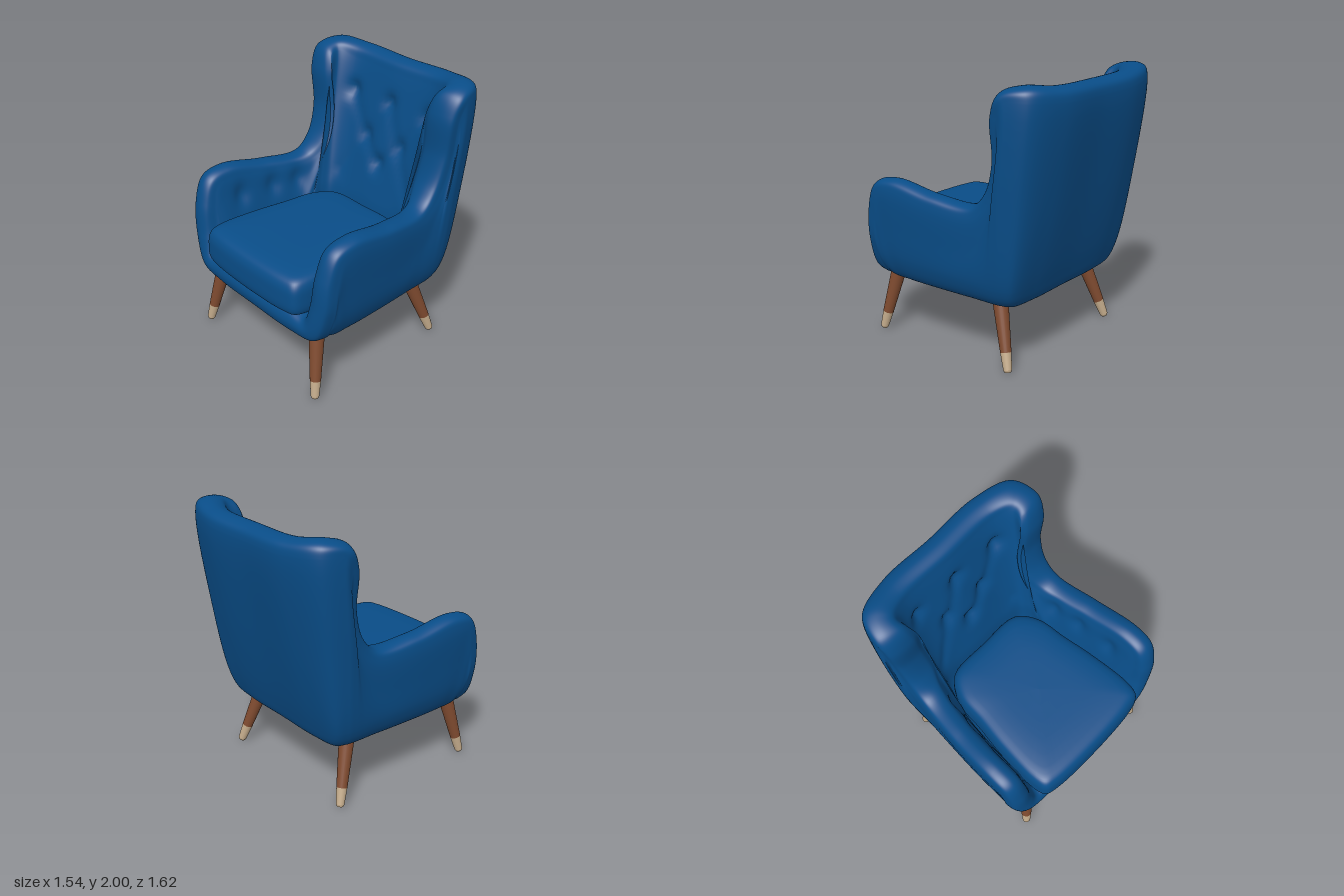
import * as THREE from 'three';

const V = (x, y, z) => new THREE.Vector3(x, y, z);

// Half of the rim, back centre -> wing -> arm -> front rail: x, y, z, thickness,
// outward angle (0 = back, 90 = side, 180 = down), inner padding width
const RIM = [
  [0, 1.97, -0.705, 0.20, 0, 0.5], [0.40, 1.98, -0.705, 0.20, 3, 0.52], [0.62, 2.0, -0.63, 0.20, 42, 0.65],
  [0.675, 1.95, -0.48, 0.17, 74, 0.85], [0.66, 1.8, -0.41, 0.165, 84, 1.0], [0.625, 1.5, -0.40, 0.16, 88, 1.0],
  [0.61, 1.28, -0.33, 0.16, 90, 0.95], [0.62, 1.17, -0.22, 0.16, 90, 0.7], [0.66, 1.185, 0.10, 0.17, 90, 0.55],
  [0.685, 1.24, 0.45, 0.17, 90, 0.5], [0.685, 1.19, 0.62, 0.17, 90, 0.5], [0.675, 1.0, 0.70, 0.18, 90, 0.5],
  [0.65, 0.75, 0.725, 0.19, 98, 0.5], [0.58, 0.57, 0.74, 0.19, 138, 0.5], [0.40, 0.55, 0.75, 0.185, 176, 0.5],
  [0, 0.55, 0.755, 0.185, 180, 0.5],
];
// Matching lower flank (x, y, z) and inner foot (x, z)
const FEET = [
  [0, 0.62, -0.575, 0, -0.30], [0.40, 0.62, -0.575, 0.25, -0.30], [0.62, 0.62, -0.54, 0.36, -0.28],
  [0.66, 0.62, -0.46, 0.40, -0.22], [0.67, 0.62, -0.40, 0.42, -0.17], [0.675, 0.62, -0.32, 0.44, -0.12],
  [0.68, 0.62, -0.20, 0.45, -0.06], [0.69, 0.62, -0.08, 0.46, 0], [0.705, 0.62, 0.15, 0.48, 0.20],
  [0.715, 0.62, 0.38, 0.49, 0.40], [0.715, 0.62, 0.49, 0.49, 0.50], [0.715, 0.61, 0.56, 0.50, 0.55],
  [0.70, 0.58, 0.60, 0.50, 0.58], [0.63, 0.485, 0.615, 0.48, 0.58], [0.40, 0.457, 0.62, 0.40, 0.60],
  [0, 0.457, 0.62, 0, 0.60],
];
const CREST_ROW = 7; // control row from which the surface faces inwards

// Smooth surface through half a ring of sections, mirrored in x
function loftMirrored(half, perRow, perSection, dent) {
  const mirrored = half.slice(1, -1).reverse().map(s => s.map(p => V(-p.x, p.y, p.z)));
  const sections = [...half, ...mirrored];
  const rows = (half[0].length - 1) * perRow;
  const cols = sections.length * perSection;
  const dense = sections.map(s => new THREE.CatmullRomCurve3(s).getPoints(rows));
  const pos = [], index = [];
  for (let r = 0; r <= rows; r++) {
    const ring = new THREE.CatmullRomCurve3(dense.map(d => d[r]), true);
    for (let c = 0; c < cols; c++) {
      const p = ring.getPoint(c / cols);
      if (dent) dent(p, r / perRow);
      pos.push(p.x, p.y, p.z);
      if (r < rows) {
        const a = r * cols + c, b = r * cols + (c + 1) % cols;
        index.push(a, a + cols, b, b, a + cols, b + cols);
      }
    }
  }
  const g = new THREE.BufferGeometry();
  g.setAttribute('position', new THREE.Float32BufferAttribute(pos, 3));
  g.setIndex(index);
  g.computeVertexNormals();
  return g;
}

// One section of the body: underside, outer face, rolled rim, inner face, seat deck
function bodySection(i) {
  const [x, y, z, t, angle, pad] = RIM[i];
  const [fx, fy, fz, ix, iz] = FEET[i];
  const C = V(x, y, z), F = V(fx, fy, fz), I = V(ix, 0.62, iz);
  const a = THREE.MathUtils.degToRad(angle);
  const n = angle <= 90 ? V(Math.sin(a), 0, -Math.cos(a)) : V(Math.sin(a), Math.cos(a), 0);
  const at = j => V(RIM[j][0], RIM[j][1], RIM[j][2]);
  const last = RIM.length - 1;
  const T = i === 0 ? V(1, 0, 0) : i === last ? V(-1, 0, 0)
    : C.clone().sub(at(i - 1)).normalize().add(at(i + 1).sub(C).normalize());
  const up = T.cross(n).normalize();
  const rim = (side, down) => C.clone().addScaledVector(n, side * t).addScaledVector(up, -down * t);
  const outer = rim(0.5, 0.5), inner = rim(-pad, 0.25 / pad);
  const bulge = outer.clone().lerp(F, 0.5).addScaledVector(n, 0.02 * outer.distanceTo(F));
  return [
    V(0, 0.455, 0.1), V(fx * 0.78, 0.455, fz * 0.78),
    V(fx * 0.91, 0.455 + (fy - 0.455) * 0.22, fz * 0.91), F, bulge,
    outer, rim(0.4, 0.14), C, rim(-0.72 * pad, 0.07 / pad), inner,
    inner.clone().lerp(I, 0.25), inner.clone().lerp(I, 0.5), inner.clone().lerp(I, 0.75), I,
    V(0, 0.62, 0.1),
  ];
}

// Tufting: buttons and folds on the back (x, y), buttons on the arms (z, y)
const BACK_BUTTONS = [[-0.37, 1.66], [0, 1.66], [0.37, 1.66], [-0.17, 1.37], [0.17, 1.37], [0, 1.2]];
const FOLDS = [[0, 3], [1, 3], [1, 4], [2, 4], [3, 5], [4, 5]]
  .map(([a, b]) => [...BACK_BUTTONS[a], ...BACK_BUTTONS[b]])
  .concat([[-0.17, 1.37, -0.35, 1.05], [0.17, 1.37, 0.35, 1.05]]);
const ARM_BUTTONS = [[-0.12, 1.0], [0.10, 1.0], [0.38, 1.0]];
const bell = (d, w) => Math.exp(-(d * d) / (w * w));

function segmentDistance(x, y, [ax, ay, bx, by]) {
  const dx = bx - ax, dy = by - ay;
  const k = THREE.MathUtils.clamp(((x - ax) * dx + (y - ay) * dy) / (dx * dx + dy * dy), 0, 1);
  return Math.hypot(x - ax - k * dx, y - ay - k * dy);
}

function tuft(p, row) {
  if (row < CREST_ROW + 1 || p.y < 0.7) return;
  const { x, y, z } = p;
  if (z < -0.2) {
    for (const [bx, by] of BACK_BUTTONS) p.z -= 0.04 * bell(Math.hypot(x - bx, y - by), 0.06);
    p.z -= 0.012 * Math.max(...FOLDS.map(f => bell(segmentDistance(x, y, f), 0.045)));
  }
  if (Math.abs(x) > 0.4 && z > -0.3) {
    for (const [bz, by] of ARM_BUTTONS) {
      p.x += Math.sign(x) * 0.03 * bell(Math.hypot(z - bz, (y - by) * 0.7), 0.06);
    }
  }
}

// Seat cushion: half of the plan outline, and its edge as (scale, height)
const CUSHION_PLAN = [[0, -0.355], [0.28, -0.352], [0.36, -0.31], [0.44, -0.17], [0.465, 0.05], [0.50, 0.3],
  [0.52, 0.66], [0.49, 0.755], [0.40, 0.785], [0, 0.805]];
const CUSHION_EDGE = [[0, 0.64], [0.8, 0.64], [0.96, 0.645], [0.995, 0.68], [1, 0.77], [0.985, 0.85],
  [0.94, 0.895], [0.8, 0.922], [0, 0.935]];

function taperedRod(a, b, ra, rb, material, name) {
  const dir = b.clone().sub(a);
  const mesh = new THREE.Mesh(new THREE.CylinderGeometry(rb, ra, dir.length(), 24), material);
  mesh.position.copy(a).add(b).multiplyScalar(0.5);
  mesh.quaternion.setFromUnitVectors(V(0, 1, 0), dir.normalize());
  mesh.name = name;
  return mesh;
}

function leg(foot, top, wood, tip, name) {
  const g = new THREE.Group();
  g.name = name;
  const joint = foot.clone().lerp(top, 0.26);
  const heel = foot.clone().lerp(top, 0.03);
  g.add(taperedRod(foot, heel, 0.022, 0.03, tip, 'legTipEnd'));
  g.add(taperedRod(heel, joint, 0.03, 0.039, tip, 'legTip'));
  g.add(taperedRod(joint, top, 0.039, 0.057, wood, 'legShaft'));
  return g;
}

export function createModel() {
  const material = (name, color) => {
    const m = new THREE.MeshStandardMaterial({ color });
    m.name = name;
    return m;
  };
  const fabric = material('blue fabric', 0x094d88);
  const wood = material('brown wood', 0x7e4a2f);
  const tip = material('pale leg tip', 0xc2aa8a);
  const chair = new THREE.Group();
  chair.name = 'armchair';

  // Upholstered body: back, wings, arms and front rail in one skin
  const body = new THREE.Mesh(loftMirrored(RIM.map((_, i) => bodySection(i)), 9, 12, tuft), fabric);
  body.name = 'upholsteredBody';
  chair.add(body);

  // Seat cushion
  const centreZ = 0.22;
  const sections = CUSHION_PLAN.map(([x, z]) =>
    CUSHION_EDGE.map(([s, y]) => V(x * s, y, centreZ + (z - centreZ) * s)));
  const cushion = new THREE.Mesh(loftMirrored(sections, 5, 6), fabric);
  cushion.name = 'seatCushion';
  chair.add(cushion);

  // Splayed legs
  for (const s of [1, -1]) {
    const side = s > 0 ? 'Left' : 'Right';
    chair.add(leg(V(s * 0.625, 0.008, 0.70), V(s * 0.535, 0.50, 0.60), wood, tip, `front${side}Leg`));
    chair.add(leg(V(s * 0.595, 0.008, -0.48), V(s * 0.485, 0.50, -0.32), wood, tip, `back${side}Leg`));
  }
  return chair;
}
